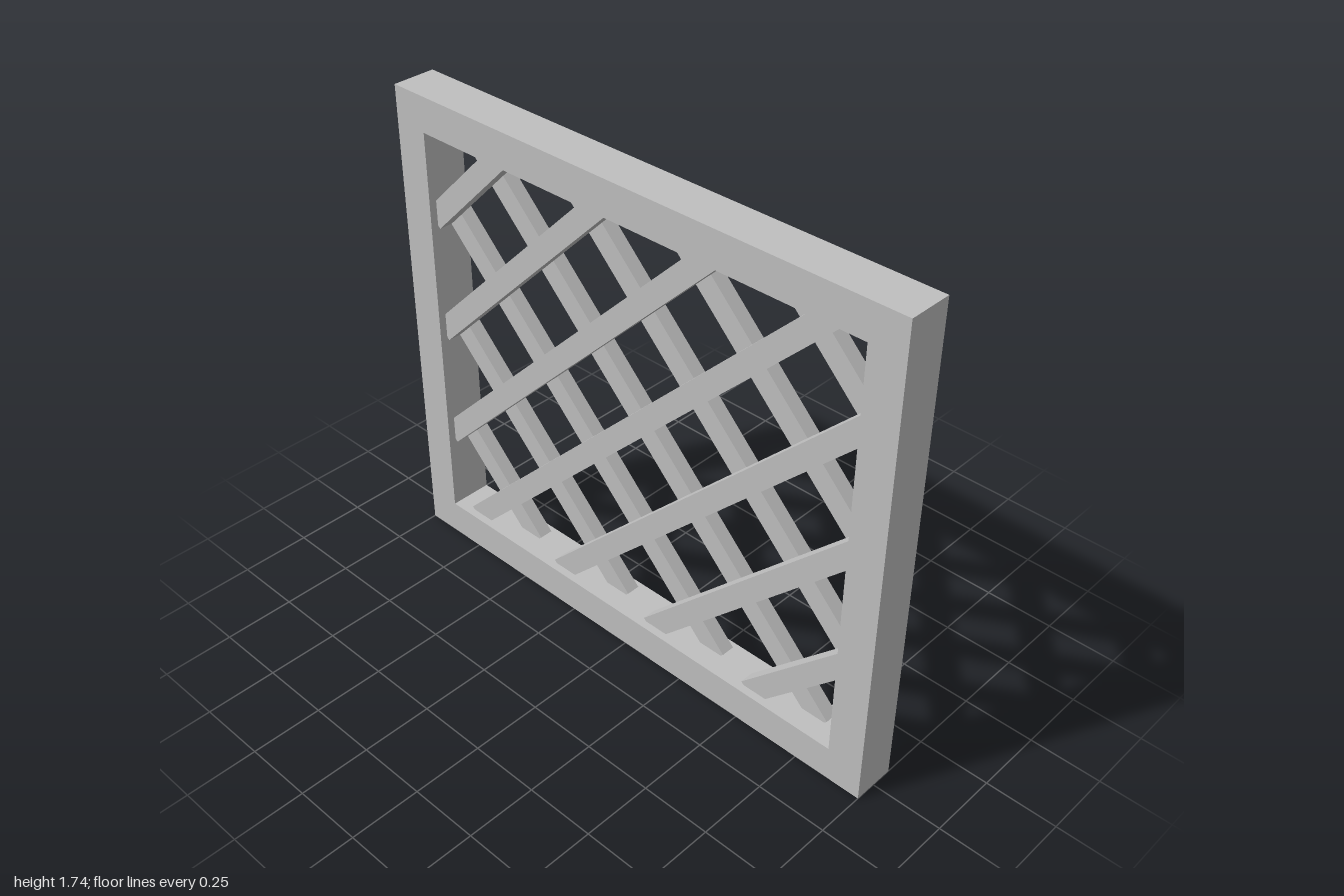
import * as THREE from 'three';

const HEIGHT = 1.74, DEPTH = 0.155, BORDER = 0.126;
const SLAT_WIDTH = 0.078, SLAT_DEPTH = 0.05, SLAT_SPACING = 0.433, SLAT_OFFSET = 0.885;

const rectangle = (path, x0, y0, x1, y1) =>
  path.moveTo(x0, y0).lineTo(x1, y0).lineTo(x1, y1).lineTo(x0, y1).closePath();

export function createModel() {
  const model = new THREE.Group();
  model.name = 'latticePanel';
  const grey = new THREE.MeshStandardMaterial({ color: 0xc0c0c0 });
  grey.name = 'lightGrey';

  // Rectangular frame with an open middle
  const outline = rectangle(new THREE.Shape(), -1, 0, 1, HEIGHT);
  outline.holes.push(rectangle(new THREE.Path(), -1 + BORDER, BORDER, 1 - BORDER, HEIGHT - BORDER));
  const frameGeometry = new THREE.ExtrudeGeometry(outline, { depth: DEPTH, bevelEnabled: false });
  frameGeometry.translate(0, 0, -DEPTH / 2);
  const frame = new THREE.Mesh(frameGeometry, grey);
  frame.name = 'frame';
  model.add(frame);

  // One layer of rising diagonal slats, each let slightly into the frame
  const inset = BORDER - 0.018;
  const right = 1 - inset, bottom = inset, top = HEIGHT - inset;
  function slatLayer(name) {
    const layer = new THREE.Group();
    layer.name = name;
    for (let k = -3; k <= 3; k++) {
      const c = SLAT_OFFSET + k * SLAT_SPACING; // centre line y = x + c
      const x0 = Math.max(-right, bottom - c), x1 = Math.min(right, top - c);
      const slat = new THREE.Mesh(
        new THREE.BoxGeometry((x1 - x0) * Math.SQRT2, SLAT_WIDTH, SLAT_DEPTH), grey);
      slat.name = 'slat';
      slat.position.set((x0 + x1) / 2, (x0 + x1) / 2 + c, SLAT_DEPTH / 2);
      slat.rotation.z = Math.PI / 4;
      layer.add(slat);
    }
    model.add(layer);
    return layer;
  }

  // The back layer is the front one turned round, so the slats cross
  slatLayer('frontSlats');
  slatLayer('backSlats').rotation.y = Math.PI;

  return model;
}
